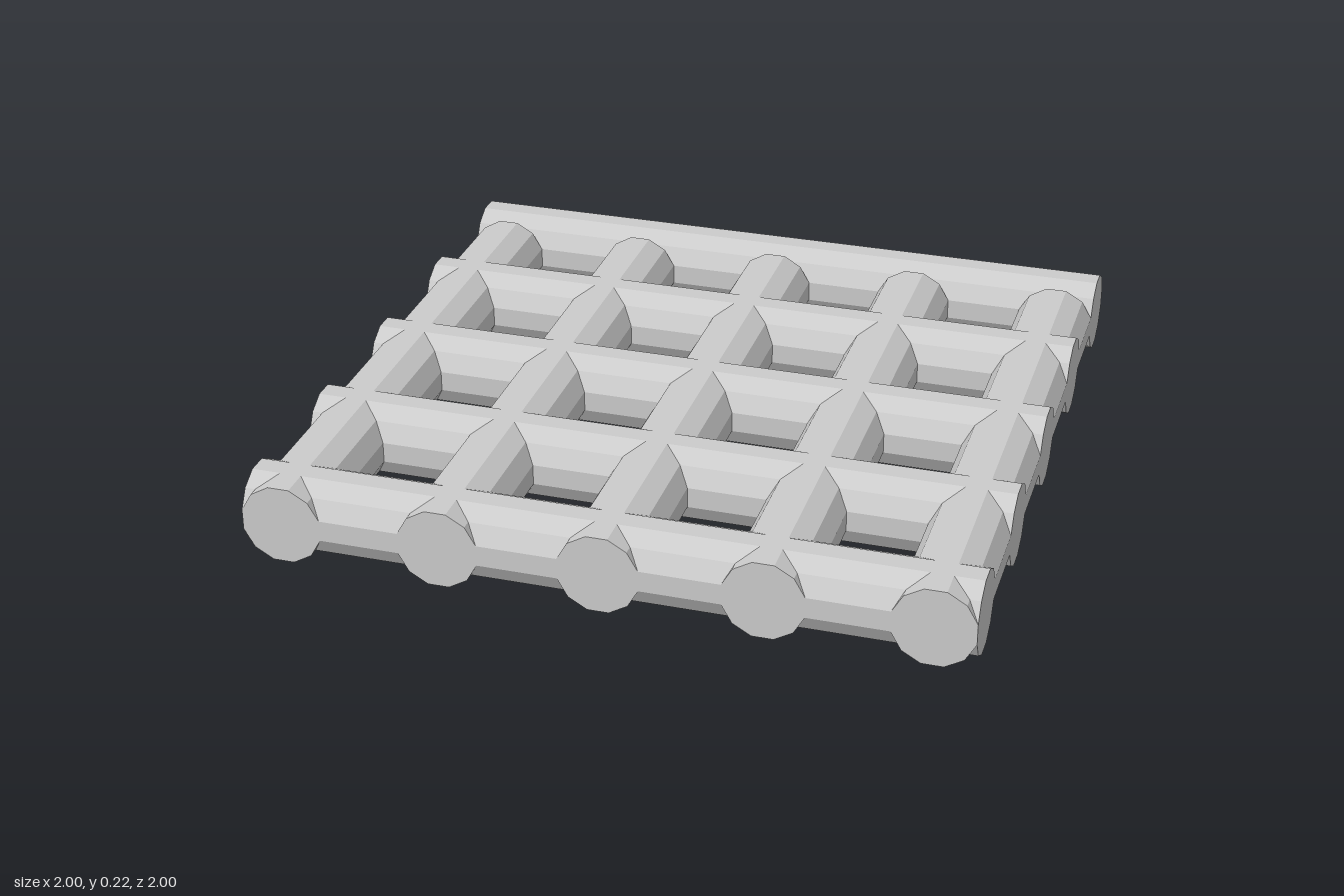
import * as THREE from 'three';

const SIDES = 12;
const HALF = 1 / 9; // half thickness of a bar, measured to its flats
const RADIUS = HALF / Math.cos(Math.PI / SIDES);
const SPACING = 4 * HALF;

// Twelve-sided bar along y, turned so that flats face the main axes
function makeBar(name, length, material) {
  const geometry = new THREE.CylinderGeometry(
    RADIUS, RADIUS, length, SIDES, 1, false, Math.PI / SIDES);
  const bar = new THREE.Mesh(geometry, material);
  bar.name = name;
  return bar;
}

export function createModel() {
  const model = new THREE.Group();
  model.name = 'barGrate';
  const material = new THREE.MeshStandardMaterial({ color: 0xcccccc, flatShading: true });

  for (let i = -2; i <= 2; i++) {
    // Crossbars run the full width; the rearmost one is the end rail
    const cross = makeBar(i === -2 ? 'rearRail' : 'crossbar', 2, material);
    cross.rotation.z = Math.PI / 2;
    cross.position.set(0, HALF, i * SPACING);

    // Long bars run from the front edge and stop against the rear rail
    const long = makeBar('longBar', 2 - 2 * HALF, material);
    long.rotation.x = Math.PI / 2;
    long.position.set(i * SPACING, HALF, HALF);

    model.add(cross, long);
  }
  return model;
}
